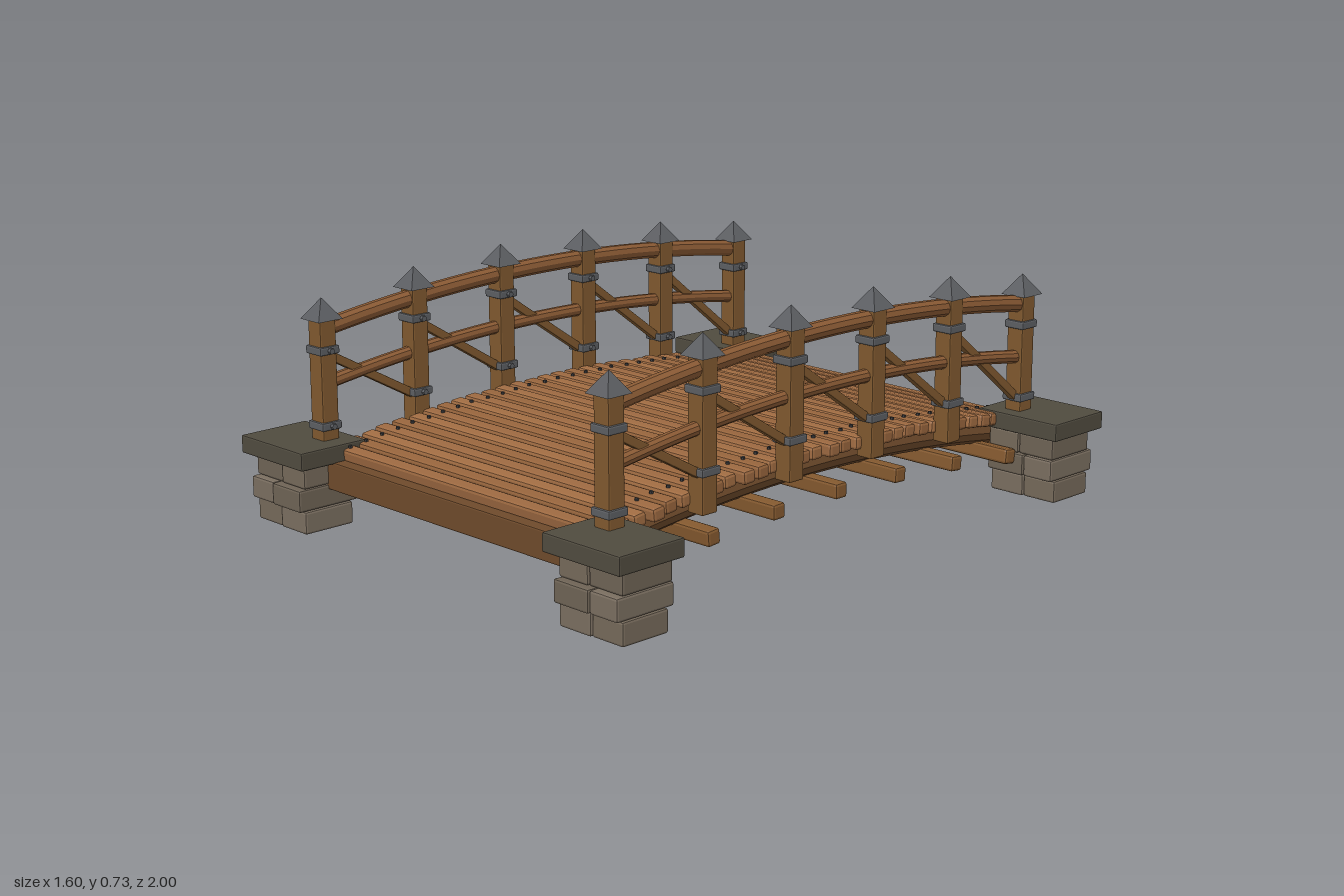
import * as THREE from 'three';
import { RoundedBoxGeometry } from 'three/addons/geometries/RoundedBoxGeometry.js';

const paint = (color) => new THREE.MeshStandardMaterial({ color, flatShading: true });
const MAT = {
  plank: [paint(0xa06c42), paint(0x96643c), paint(0x9b6840)],
  post: paint(0x80592f),
  rail: paint(0x8a5a34),
  beam: paint(0x6e4a2b),
  joist: paint(0x84592f),
  stone: [paint(0x7a6e60), paint(0x6e6355), paint(0x75695a)],
  slab: paint(0x504b3f),
  iron: paint(0x5c5e62),
  nail: paint(0x3c3c3e),
};

// Everything on the bridge follows the same shallow parabola
const arch = (z) => -0.092 * z * z;
const archTilt = (z) => Math.atan(0.184 * z);

// Small seeded generator for slight irregularities
let seed = 7;
const rand = () => (seed = (seed * 16807) % 2147483647) / 2147483647;

function add(parent, name, geometry, material, x = 0, y = 0, z = 0) {
  const mesh = new THREE.Mesh(geometry, material);
  mesh.name = name;
  mesh.position.set(x, y, z);
  parent.add(mesh);
  return mesh;
}

const chamferBox = (w, h, d, c) => new RoundedBoxGeometry(w, h, d, 1, c);

// Round log bent along the arch, closed at both ends
function archLog(parent, name, x, y, radius, halfLength, material) {
  const points = [];
  for (let i = 0; i <= 12; i++) {
    const z = halfLength * (i / 6 - 1);
    points.push(new THREE.Vector3(0, y + arch(z), z));
  }
  const group = new THREE.Group();
  group.name = name;
  group.position.x = x;
  parent.add(group);
  const curve = new THREE.CatmullRomCurve3(points);
  add(group, name + 'Log', new THREE.TubeGeometry(curve, 24, radius, 10), material);
  for (const s of [-1, 1]) {
    const end = add(group, name + 'End', new THREE.CircleGeometry(radius, 10), material,
      0, y + arch(halfLength), s * halfLength);
    if (s < 0) end.rotation.y = Math.PI;
  }
}

// Abutment pillar: three courses of paired stones under a slab
function pillar(parent, sx, sz) {
  const group = new THREE.Group();
  group.name = 'stonePillar';
  parent.add(group);
  const courses = [
    { y: 0.034, h: 0.068, z0: 0.8, z1: 0.97, split: 0.66 },
    { y: 0.102, h: 0.066, z0: 0.78, z1: 0.99, split: 0.672 },
    { y: 0.168, h: 0.066, z0: 0.785, z1: 0.97, split: 0.65 },
  ];
  courses.forEach((c, i) => {
    [[0.54, c.split], [c.split, 0.776]].forEach(([x0, x1], j) => {
      add(group, 'stoneBlock', chamferBox(x1 - x0 - 0.001, c.h, c.z1 - c.z0 - j * 0.008, 0.007),
        MAT.stone[(i + j * 2) % 3], sx * (x0 + x1) / 2, c.y, sz * (c.z0 + c.z1) / 2);
    });
  });
  add(group, 'pillarSlab', chamferBox(0.29, 0.054, 0.23, 0.005), MAT.slab, sx * 0.655, 0.228, sz * 0.885);
}

// Railing post with iron bands, bolts and a pyramid cap
function railingPost(parent, side, z) {
  const group = new THREE.Group();
  group.name = 'railingPost';
  group.position.set(side * 0.6, arch(z), z);
  parent.add(group);
  add(group, 'postShaft', chamferBox(0.057, 0.435, 0.057, 0.005), MAT.post, 0, 0.4605, 0);
  for (const y of [0.362, 0.585]) {
    add(group, 'ironBand', chamferBox(0.07, 0.025, 0.07, 0.005), MAT.iron, 0, y, 0);
    const bolt = add(group, 'bandBolt', new THREE.CylinderGeometry(0.009, 0.009, 0.014, 6),
      MAT.iron, -side * 0.039, y, 0);
    bolt.rotation.z = Math.PI / 2;
  }
  const cap = new THREE.ConeGeometry(0.043 * Math.SQRT2, 0.062, 4).rotateY(Math.PI / 4);
  add(group, 'postCap', cap, MAT.iron, 0, 0.705, 0);
}

// Square diagonal strut between two points in the railing plane
function brace(parent, x, y0, z0, y1, z1) {
  const length = Math.hypot(y1 - y0, z1 - z0);
  const mesh = add(parent, 'diagonalBrace', chamferBox(0.026, 0.026, length, 0.004), MAT.post,
    x, (y0 + y1) / 2, (z0 + z1) / 2);
  mesh.rotation.x = Math.atan2(y1 - y0, z0 - z1);
}

export function createModel() {
  const model = new THREE.Group();
  model.name = 'woodenFootbridge';

  for (const sx of [-1, 1]) for (const sz of [-1, 1]) pillar(model, sx, sz);

  // Bearing beams across both ends
  for (const s of [-1, 1]) {
    add(model, 'endBeam', chamferBox(1.14, 0.085, 0.07, 0.005), MAT.beam, 0, 0.1625, s * 0.85);
  }

  // Lengthwise stringers and the joists below them
  for (const x of [-0.5, 0, 0.5]) archLog(model, 'stringer', x, 0.232, 0.036, 0.85, MAT.beam);
  for (let i = -3; i <= 3; i++) {
    const z = i * 0.253;
    const joist = add(model, 'joist', chamferBox(1.29, 0.046, 0.046, 0.008), MAT.joist, 0, 0.182 + arch(z), z);
    joist.rotation.x = archTilt(z);
  }

  // Deck planks with a nail over each outer stringer
  const nailGeometry = new THREE.CylinderGeometry(0.006, 0.006, 0.012, 6);
  for (let i = 0; i < 30; i++) {
    const z = (i - 14.5) * 0.057;
    const plank = new THREE.Group();
    plank.name = 'deckPlank';
    plank.position.set((rand() - 0.5) * 0.012, 0.284 + arch(z), z);
    plank.rotation.x = archTilt(z);
    model.add(plank);
    add(plank, 'plankBoard', chamferBox(1.15 + rand() * 0.03, 0.04, 0.045, 0.009), MAT.plank[i % 3]);
    for (const x of [-0.503, 0.503]) add(plank, 'nail', nailGeometry, MAT.nail, x, 0.021, 0);
  }

  // Railings
  const postZ = [0.845, 0.507, 0.169, -0.169, -0.507, -0.845];
  for (const side of [-1, 1]) {
    const railing = new THREE.Group();
    railing.name = side > 0 ? 'leftRailing' : 'rightRailing';
    model.add(railing);
    postZ.forEach((z, i) => {
      railingPost(railing, side, z);
      const next = postZ[i + 1];
      if (next !== undefined) {
        brace(railing, side * 0.6, 0.575 + arch(z), z, 0.345 + arch(next), next);
      }
    });
    archLog(railing, 'handRail', side * 0.6, 0.645, 0.026, 0.855, MAT.rail);
    archLog(railing, 'middleRail', side * 0.6, 0.482, 0.02, 0.855, MAT.rail);
  }
  return model;
}
